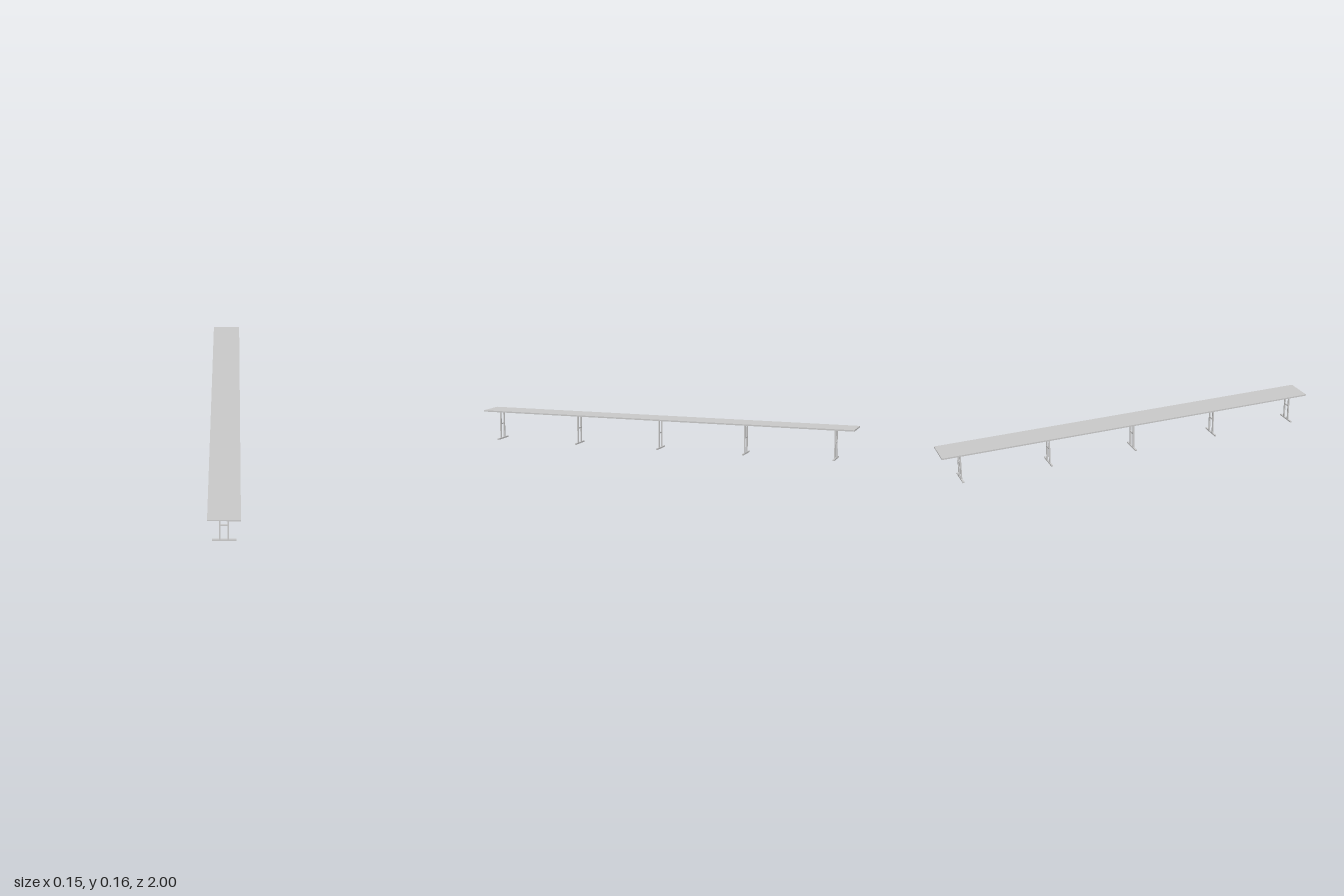
import * as THREE from 'three';

const material = new THREE.MeshStandardMaterial({ color: 0xcccccc });

function box(name, w, h, d, x, y, z) {
  const mesh = new THREE.Mesh(new THREE.BoxGeometry(w, h, d), material);
  mesh.name = name;
  mesh.position.set(x, y, z);
  return mesh;
}

const TOP = 0.16;
const THICKNESS = 0.007;
const LEG_X = 0.019;
const FOOT_HEIGHT = 0.007;

// H-shaped trestle: foot bar, two posts and a cross rail
function createTrestle(z) {
  const trestle = new THREE.Group();
  trestle.name = 'trestle';
  trestle.position.z = z;
  trestle.add(box('foot', 0.109, FOOT_HEIGHT, 0.008, 0, FOOT_HEIGHT / 2, 0));
  const postHeight = TOP - THICKNESS - FOOT_HEIGHT;
  for (const side of [-1, 1]) {
    trestle.add(box(side > 0 ? 'leftPost' : 'rightPost', 0.007, postHeight, 0.007,
      side * LEG_X, FOOT_HEIGHT + postHeight / 2, 0));
  }
  trestle.add(box('crossRail', LEG_X * 2 - 0.007, 0.006, 0.006, 0, 0.083, 0));
  return trestle;
}

export function createModel() {
  const model = new THREE.Group();
  model.name = 'longTable';
  model.add(box('tableTop', 0.148, THICKNESS, 2, 0, TOP - THICKNESS / 2, 0));
  // Five evenly spaced trestles, set slightly toward the front
  for (let i = 0; i < 5; i++) model.add(createTrestle(0.928 - i * 0.4565));
  return model;
}
